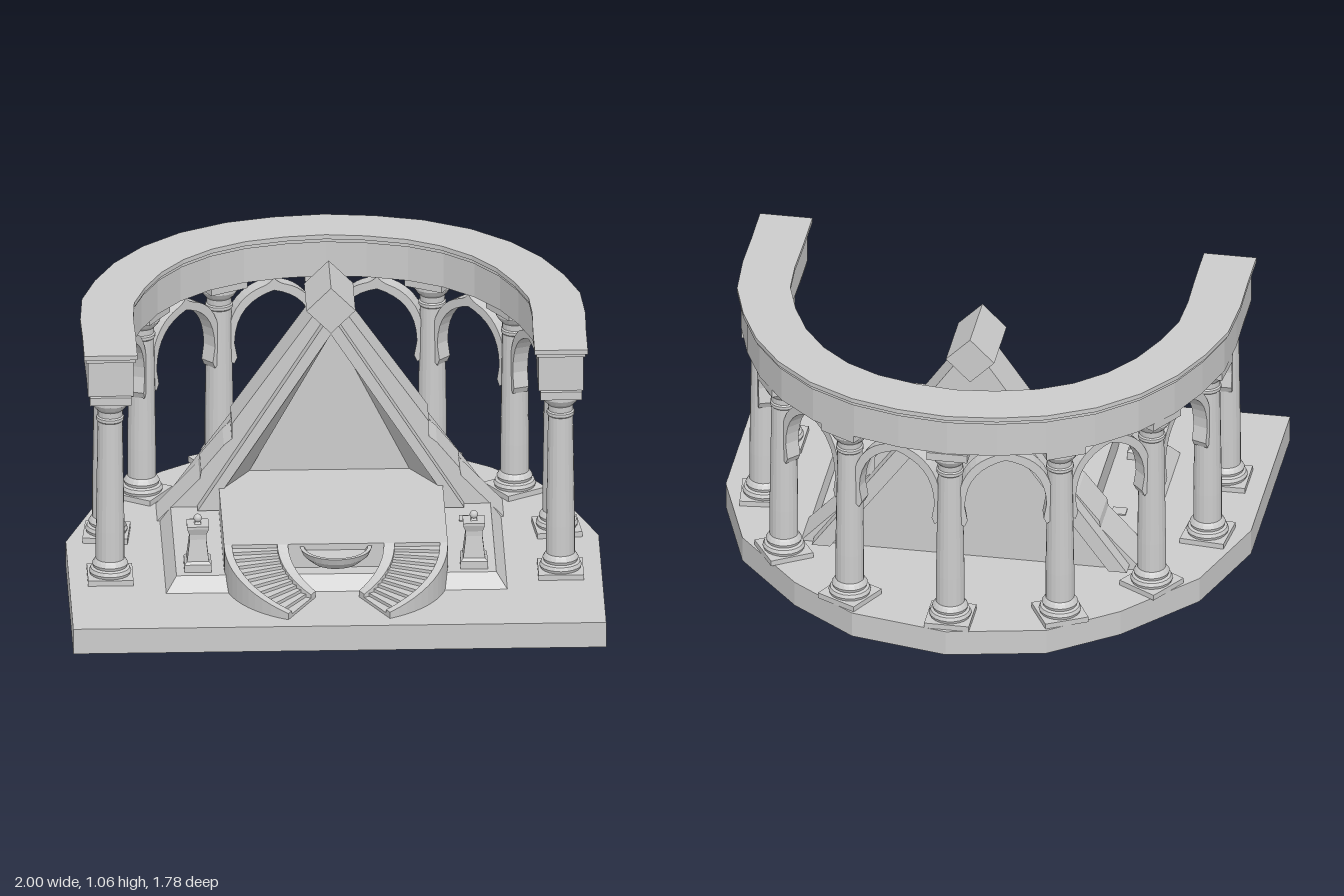
import * as THREE from 'three';

const mat = new THREE.MeshStandardMaterial({ color: 0xcccccc, side: THREE.DoubleSide });
const flat = new THREE.MeshStandardMaterial({ color: 0xcccccc, side: THREE.DoubleSide, flatShading: true });
const lerp = THREE.MathUtils.lerp;

export function createModel() {
  const model = new THREE.Group();

  const add = (name, geo, parent = model, material = flat) => {
    const m = new THREE.Mesh(geo, material);
    m.name = name;
    parent.add(m);
    return m;
  };
  const box = (name, w, h, d, x, y, z, parent = model) => {
    const m = add(name, new THREE.BoxGeometry(w, h, d), parent);
    m.position.set(x, y, z);
    return m;
  };
  const toShape = (pts) => new THREE.Shape(pts.map(([x, y]) => new THREE.Vector2(x, y)));
  // Outline in x/y, extruded from z0 to z1
  const slab = (pts, z0, z1, hole) => {
    const s = toShape(pts);
    if (hole) s.holes.push(toShape(hole));
    return new THREE.ExtrudeGeometry(s, { depth: z1 - z0, bevelEnabled: false }).translate(0, 0, z0);
  };
  // Outline in x/z, extruded from y0 to y1
  const plan = (pts, y0, y1) =>
    slab(pts.map(([x, z]) => [x, -z]), y0, y1).rotateX(-Math.PI / 2);
  // Right half of an outline, completed by its mirror image
  const mirrored = (half) =>
    [...half, ...half.slice().reverse().filter(([x]) => x !== 0).map(([x, y]) => [-x, y])];

  // Ground slab with a rounded back
  add('baseSlab', plan(mirrored([[1, 0.89], [1, -0.04 + 0.08], [0.87, -0.34], [0.62, -0.63], [0.37, -0.815], [0, -0.89]]), 0, 0.1));

  // Horseshoe entablature following the colonnade
  const half = [[0.845, 0.45], [0.845, 0.2], [0.845, -0.02], [0.79, -0.22], [0.7, -0.41], [0.57, -0.57], [0.4, -0.69], [0.2, -0.755], [0, -0.78]];
  const curve = new THREE.CatmullRomCurve3(mirrored(half).map(([x, z]) => new THREE.Vector3(x, 0, z)));
  const ring = (w, extra, y0, y1) => {
    const outer = [], inner = [];
    for (let i = 0; i <= 20; i++) {
      const p = curve.getPointAt(i / 20), t = curve.getTangentAt(i / 20);
      if (i % 20 === 0) { t.set(0, 0, i ? 1 : -1); p.z += extra; }
      outer.push([p.x - t.z * w, p.z + t.x * w]);
      inner.push([p.x + t.z * w, p.z - t.x * w]);
    }
    return plan([...outer, ...inner.reverse()], y0, y1);
  };
  add('entablature', ring(0.085, 0, 0.86, 1.0));
  add('lowerCornice', ring(0.092, 0.01, 1.0, 1.015));
  add('upperCornice', ring(0.1, 0.02, 1.015, 1.033));

  // Columns
  const columnProfile = [[0.076, 0.12], [0.08, 0.132], [0.074, 0.145], [0.064, 0.15], [0.068, 0.162], [0.06, 0.175], [0.054, 0.182],
    [0.054, 0.3], [0.047, 0.74], [0.052, 0.745], [0.052, 0.757], [0.047, 0.762], [0.048, 0.785], [0.06, 0.797], [0.071, 0.815], [0.071, 0.83]]
    .map(([r, y]) => new THREE.Vector2(r, y));
  const columnGeo = new THREE.LatheGeometry(columnProfile, 20);
  const right = [[0.845, 0.39], [0.845, -0.02], [0.7, -0.41], [0.4, -0.69]];
  const spots = [...right, [0, -0.79], ...right.slice().reverse().map(([x, z]) => [-x, z])];
  const turns = [0, 0.1, 0.55, 1.08];
  spots.forEach(([x, z], i) => {
    const g = new THREE.Group();
    g.name = 'column';
    g.position.set(x, 0, z);
    g.rotation.y = i < 4 ? turns[i] : i > 4 ? -turns[8 - i] : 0;
    box('plinth', 0.17, 0.022, 0.17, 0, 0.11, 0, g);
    add('shaft', columnGeo, g);
    box('abacus', 0.155, 0.032, 0.155, 0, 0.845, 0, g);
    model.add(g);
  });

  // Pointed arches between neighbouring columns
  const arch = new THREE.Shape();
  arch.moveTo(-0.178, 0.535);
  arch.lineTo(-0.178, 0.64);
  arch.bezierCurveTo(-0.17, 0.75, -0.1, 0.8, -0.05, 0.815);
  arch.quadraticCurveTo(-0.015, 0.825, 0, 0.848);
  arch.quadraticCurveTo(0.015, 0.825, 0.05, 0.815);
  arch.bezierCurveTo(0.1, 0.8, 0.17, 0.75, 0.178, 0.64);
  arch.lineTo(0.178, 0.535);
  arch.lineTo(0.155, 0.515);
  arch.lineTo(0.143, 0.54);
  arch.lineTo(0.154, 0.6);
  arch.bezierCurveTo(0.152, 0.72, 0.09, 0.775, 0, 0.797);
  arch.bezierCurveTo(-0.09, 0.775, -0.152, 0.72, -0.154, 0.6);
  arch.lineTo(-0.143, 0.54);
  arch.lineTo(-0.155, 0.515);
  const archGeo = new THREE.ExtrudeGeometry(arch, { depth: 0.06, bevelEnabled: false, curveSegments: 8 }).translate(0, 0, -0.03);
  for (let i = 0; i < 8; i++) {
    const [ax, az] = spots[i], [bx, bz] = spots[i + 1];
    const m = add('arch', archGeo);
    m.position.set((ax + bx) / 2, 0, (az + bz) / 2);
    m.rotation.y = -Math.atan2(bz - az, bx - ax);
  }

  // Low sloped platform and raised terrace
  const platform = new THREE.BoxGeometry(1.28, 0.055, 0.71);
  const pp = platform.attributes.position;
  for (let i = 0; i < pp.count; i++) {
    if (pp.getY(i) > 0) {
      pp.setX(i, Math.sign(pp.getX(i)) * 0.6);
      if (pp.getZ(i) > 0) pp.setZ(i, 0.315);
    }
  }
  add('platform', platform).position.set(0, 0.1275, 0.2);
  box('terrace', 0.84, 0.15, 0.57, 0, 0.175, 0.165);

  // Triangular monument: stepped frame, front layer, recessed panel
  const opening = [[-0.4, 0.25], [0.4, 0.25], [0, 0.87]];
  const recess = [[-0.3, 0.25], [0.3, 0.25], [0, 0.85]];
  const frame = [[0.65, 0.1], [0.49, 0.27], [0.485, 0.3], [0.4, 0.405], [0.37, 0.43], [0.37, 0.49], [0, 1.02]];
  add('steppedFrame', slab(mirrored(frame), -0.32, -0.15, opening));
  add('frontFrame', slab([[-0.5, 0.16], [0.5, 0.16], [0, 0.95]], -0.15, -0.1, opening));
  const splay = [];
  for (let i = 0; i < 3; i++) {
    const j = (i + 1) % 3;
    const a = [...opening[i], -0.105], b = [...opening[j], -0.105], c = [...recess[j], -0.27], d = [...recess[i], -0.27];
    splay.push(...a, ...b, ...c, ...a, ...c, ...d);
  }
  const splayGeo = new THREE.BufferGeometry();
  splayGeo.setAttribute('position', new THREE.Float32BufferAttribute(splay, 3));
  splayGeo.computeVertexNormals();
  add('splayedReveal', splayGeo);
  add('recessedPanel', slab(opening, -0.32, -0.27));
  for (const s of [-1, 1]) {
    add('backStrip', slab([[s * 0.18, 0.7], [s * 0.6, 0.12], [s * 0.53, 0.12], [s * 0.18, 0.6]], -0.38, -0.32));
  }
  const cap = box('diamondCap', 0.13, 0.13, 0.27, 0, 0.97, -0.225);
  cap.rotation.z = Math.PI / 4;

  // Box bent around the stair centre; its top runs from h0 to h1
  const sector = (s, a0, a1, r0, r1, h0, h1, n) => {
    const g = new THREE.BoxGeometry(1, 1, 1, n, 1, 1);
    const p = g.attributes.position;
    for (let i = 0; i < p.count; i++) {
      const u = p.getX(i) + 0.5, v = p.getZ(i) * s;
      const a = lerp(a0, a1, s > 0 ? u : 1 - u) ;
      const aa = s > 0 ? a : Math.PI - a;
      const r = lerp(r1, r0, p.getZ(i) + 0.5);
      const y = p.getY(i) > 0 ? lerp(h0, h1, (a - a0) / (a1 - a0)) : 0.1;
      p.setXYZ(i, r * Math.cos(aa), y, 0.45 + r * Math.sin(aa));
    }
    g.computeVertexNormals();
    return g;
  };

  // Twin curved stairs with sloping side walls
  const sweep = 1.1, steps = 11;
  for (const s of [1, -1]) {
    const g = new THREE.Group();
    g.name = s > 0 ? 'leftStair' : 'rightStair';
    model.add(g);
    for (let i = 0; i < steps; i++) {
      const h = lerp(0.235, 0.112, i / (steps - 1));
      add('tread', sector(s, sweep * i / steps, sweep * (i + 1) / steps, 0.21, 0.4, h, h, 1), g);
    }
    add('innerWall', sector(s, 0, sweep, 0.18, 0.22, 0.25, 0.125, 10), g);
    add('outerWall', sector(s, 0, sweep, 0.39, 0.42, 0.25, 0.125, 12), g);
  }

  // Half-round basin between the stairs
  const basin = [[0.03, 0.17], [0.09, 0.185], [0.125, 0.215], [0.135, 0.24], [0.12, 0.24], [0.11, 0.225], [0, 0.225]]
    .map(([r, y]) => new THREE.Vector2(r, y));
  add('basin', new THREE.LatheGeometry(basin, 14, -Math.PI / 2, Math.PI)).position.z = 0.45;

  // Pedestals with a small ball, and floor tiles
  const pedestal = [[0.072, 0.155], [0.072, 0.185], [0.058, 0.195], [0.044, 0.28], [0.045, 0.3], [0.058, 0.325], [0.058, 0.335], [0.018, 0.335], [0.008, 0.35]]
    .map(([r, y]) => new THREE.Vector2(r, y));
  for (const s of [-1, 1]) {
    const g = new THREE.Group();
    g.name = 'pedestal';
    g.position.set(s * 0.518, 0, 0.435);
    add('pedestalBody', new THREE.LatheGeometry(pedestal, 4, Math.PI / 4), g);
    add('ball', new THREE.SphereGeometry(0.016, 10, 8), g, mat).position.y = 0.356;
    model.add(g);
    box('floorTile', 0.055, 0.006, 0.05, s * 0.505, 0.157, 0);
  }
  return model;
}
